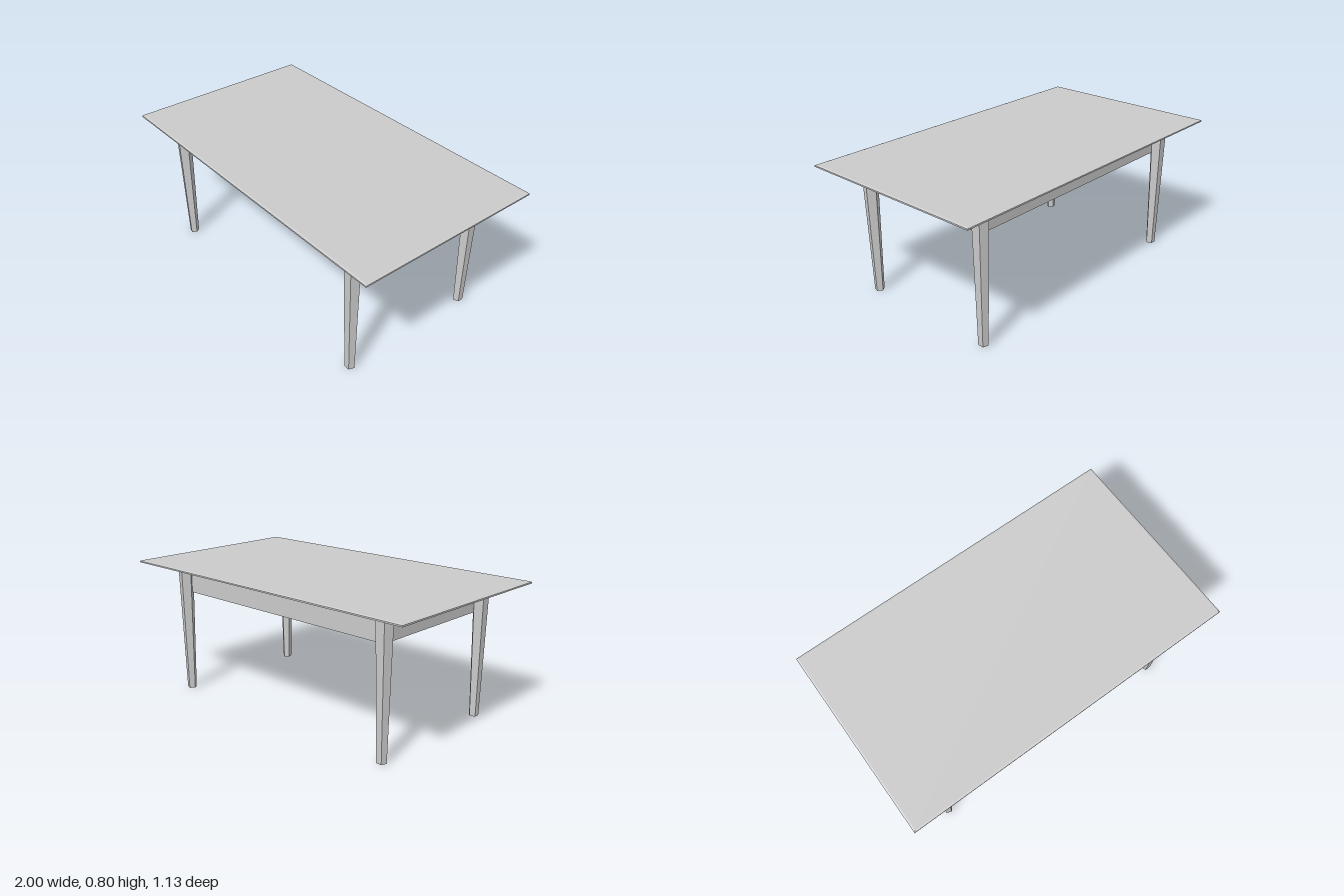
import * as THREE from 'three';

const material = new THREE.MeshStandardMaterial({ color: 0xcccccc, flatShading: true });

function addMesh(group, geometry, name, x, y, z) {
  const mesh = new THREE.Mesh(geometry, material);
  mesh.name = name;
  mesh.position.set(x, y, z);
  group.add(mesh);
  return mesh;
}

// Box whose bottom and top faces may differ by an even inset all round
function taperedBox(width, height, depth, topInset = 0, bottomInset = 0) {
  const geometry = new THREE.BoxGeometry(width, height, depth);
  const p = geometry.attributes.position;
  for (let i = 0; i < p.count; i++) {
    const inset = p.getY(i) > 0 ? topInset : bottomInset;
    p.setX(i, p.getX(i) - Math.sign(p.getX(i)) * inset);
    p.setZ(i, p.getZ(i) - Math.sign(p.getZ(i)) * inset);
  }
  geometry.computeVertexNormals();
  return geometry;
}

export function createModel() {
  const table = new THREE.Group();
  table.name = 'table';

  // Thin top with a softened upper edge
  const top = new THREE.Group();
  top.name = 'tableTop';
  addMesh(top, taperedBox(2, 0.008, 1.13), 'topSlab', 0, 0.79, 0);
  addMesh(top, taperedBox(2, 0.004, 1.13, 0.01), 'topEdgeBevel', 0, 0.796, 0);
  table.add(top);

  // Bevelled plate under the top
  addMesh(table, taperedBox(1.765, 0.021, 0.975, 0, 0.013), 'underPlate', 0, 0.7765, 0);

  // Legs and aprons share one slightly offset frame
  const frame = new THREE.Group();
  frame.name = 'frame';
  frame.position.set(-0.008, 0, 0.01);
  table.add(frame);
  const legX = 0.767, legZ = 0.415, legHeight = 0.767;

  // Tapered five-sided legs, each turned a quarter from the next
  const legs = [
    ['frontLeftLeg', 1, 1, Math.PI],
    ['backLeftLeg', 1, -1, -Math.PI / 2],
    ['backRightLeg', -1, -1, 0],
    ['frontRightLeg', -1, 1, Math.PI / 2],
  ];
  for (const [name, sx, sz, turn] of legs) {
    const geometry = new THREE.CylinderGeometry(0.046, 0.028, legHeight, 5);
    addMesh(frame, geometry, name, sx * legX, legHeight / 2, sz * legZ).rotation.y = turn;
  }

  // Apron boards running between the legs
  const thick = 0.03, height = 0.152, inset = 0.03, y = 0.615 + height / 2;
  const ax = legX - inset, az = legZ - inset;
  for (const s of [1, -1]) {
    addMesh(frame, new THREE.BoxGeometry(2 * ax + thick, height, thick),
      s > 0 ? 'frontApron' : 'backApron', 0, y, s * az);
    addMesh(frame, new THREE.BoxGeometry(thick, height, 2 * az - thick),
      s > 0 ? 'leftApron' : 'rightApron', s * ax, y, 0);
  }

  return table;
}
